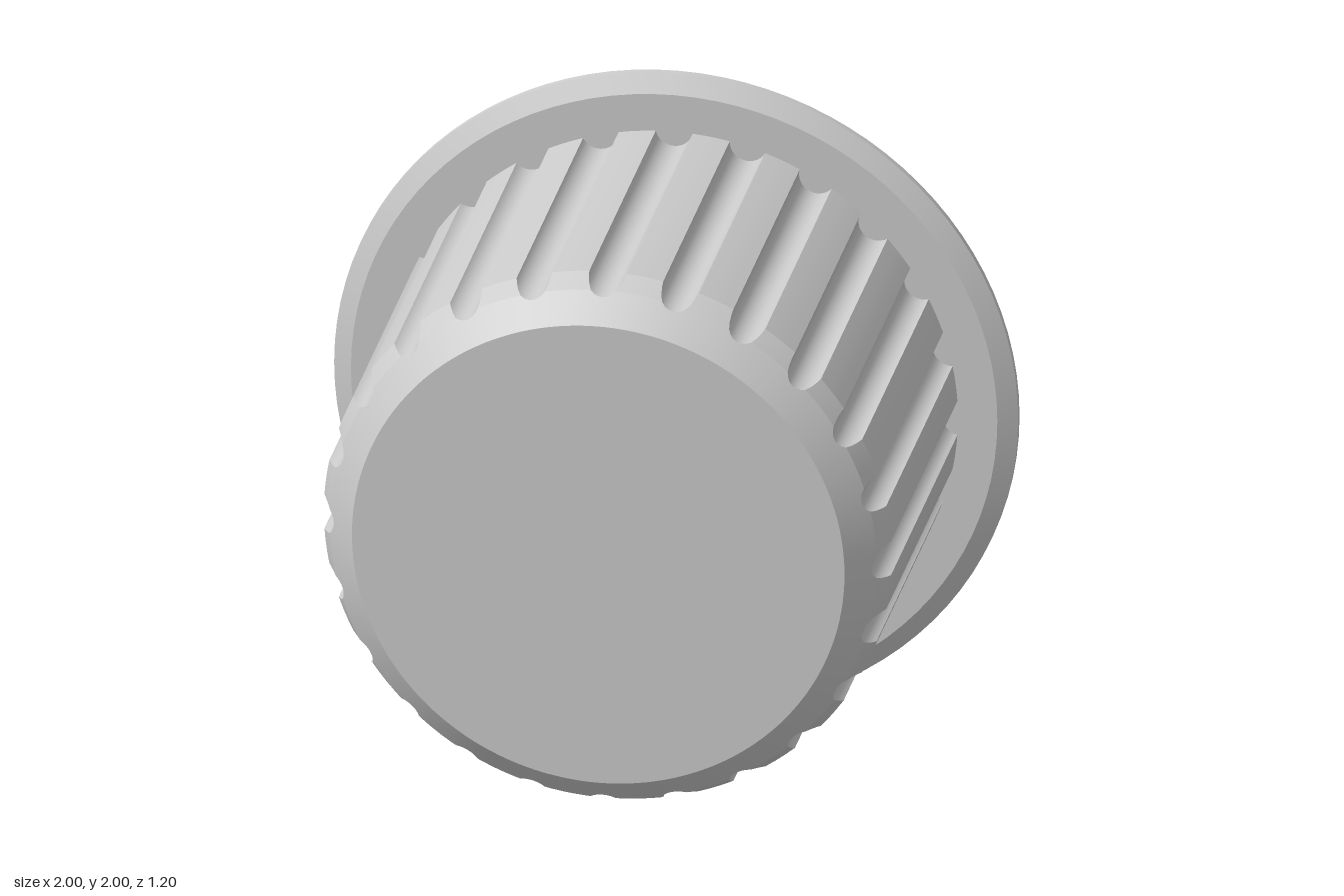
import * as THREE from 'three';
import { toCreasedNormals } from 'three/addons/utils/BufferGeometryUtils.js';

const GROOVES = 24, BODY_R = 0.83, GROOVE_R = 0.055, GROOVE_C = 0.84;
const BACK = -0.52;
// nose profile: [radius, z], from the wall to the front face
const NOSE = [[BODY_R, 0.46], [0.8, 0.525], [0.72, 0.6]];

// z at which the nose profile reaches a given radius
function noseZ(r) {
  const [a, b] = r > NOSE[1][0] ? [NOSE[0], NOSE[1]] : [NOSE[1], NOSE[2]];
  return THREE.MathUtils.mapLinear(r, a[0], b[0], a[1], b[1]);
}

// one full turn of [angle, radius]: a round groove, then a plain land, repeated
function fluteOutline() {
  const edge = Math.acos((GROOVE_C ** 2 + BODY_R ** 2 - GROOVE_R ** 2) / (2 * GROOVE_C * BODY_R));
  const pitch = (Math.PI * 2) / GROOVES, steps = 12, landSteps = 3;
  const out = [];
  for (let k = 0; k < GROOVES; k++) {
    for (let i = 0; i <= steps; i++) {
      const t = edge * Math.sin((i / steps - 0.5) * Math.PI);
      const r = GROOVE_C * Math.cos(t) - Math.sqrt(GROOVE_R ** 2 - (GROOVE_C * Math.sin(t)) ** 2);
      out.push([k * pitch + t, Math.min(r, BODY_R)]);
    }
    for (let i = 1; i < landSteps; i++) {
      out.push([k * pitch + edge + (pitch - 2 * edge) * i / landSteps, BODY_R]);
    }
  }
  return out;
}

// fluted wall whose grooves run out through the bevelled nose
function flutedBody() {
  const columns = fluteOutline().map(([t, r]) => {
    const r2 = Math.min(r, NOSE[1][0]);
    return [[r, BACK], [r, noseZ(r)], [r2, noseZ(r2)], NOSE[2], [0, NOSE[2][1]]]
      .map(([q, z]) => new THREE.Vector3(q * Math.cos(t), q * Math.sin(t), z));
  });
  const pos = [];
  const tri = (a, b, c) => {
    if (a.distanceTo(b) < 1e-6 || b.distanceTo(c) < 1e-6 || c.distanceTo(a) < 1e-6) return;
    for (const p of [a, b, c]) pos.push(p.x, p.y, p.z);
  };
  columns.forEach((p, i) => {
    const q = columns[(i + 1) % columns.length];
    for (let j = 0; j < p.length - 1; j++) {
      tri(p[j], q[j], q[j + 1]);
      tri(p[j], q[j + 1], p[j + 1]);
    }
  });
  const geo = new THREE.BufferGeometry();
  geo.setAttribute('position', new THREE.Float32BufferAttribute(pos, 3));
  return toCreasedNormals(geo, 0.36);
}

// wide bevelled disc behind the body
function flangeDisc() {
  const profile = [[0, -0.6], [0.945, -0.6], [1, -0.57], [1, -0.55], [0.945, BACK], [0, BACK]]
    .map(([r, z]) => new THREE.Vector2(r, z));
  const geo = new THREE.LatheGeometry(profile, 96);
  geo.rotateX(Math.PI / 2);
  return toCreasedNormals(geo, 0.36);
}

export function createModel() {
  const group = new THREE.Group();
  group.name = 'flutedKnob';
  const material = new THREE.MeshStandardMaterial({ color: 0xcccccc });
  const parts = { flutedBody: flutedBody(), flange: flangeDisc() };
  for (const [name, geometry] of Object.entries(parts)) {
    const mesh = new THREE.Mesh(geometry, material);
    mesh.name = name;
    mesh.position.y = 1;
    group.add(mesh);
  }
  return group;
}
